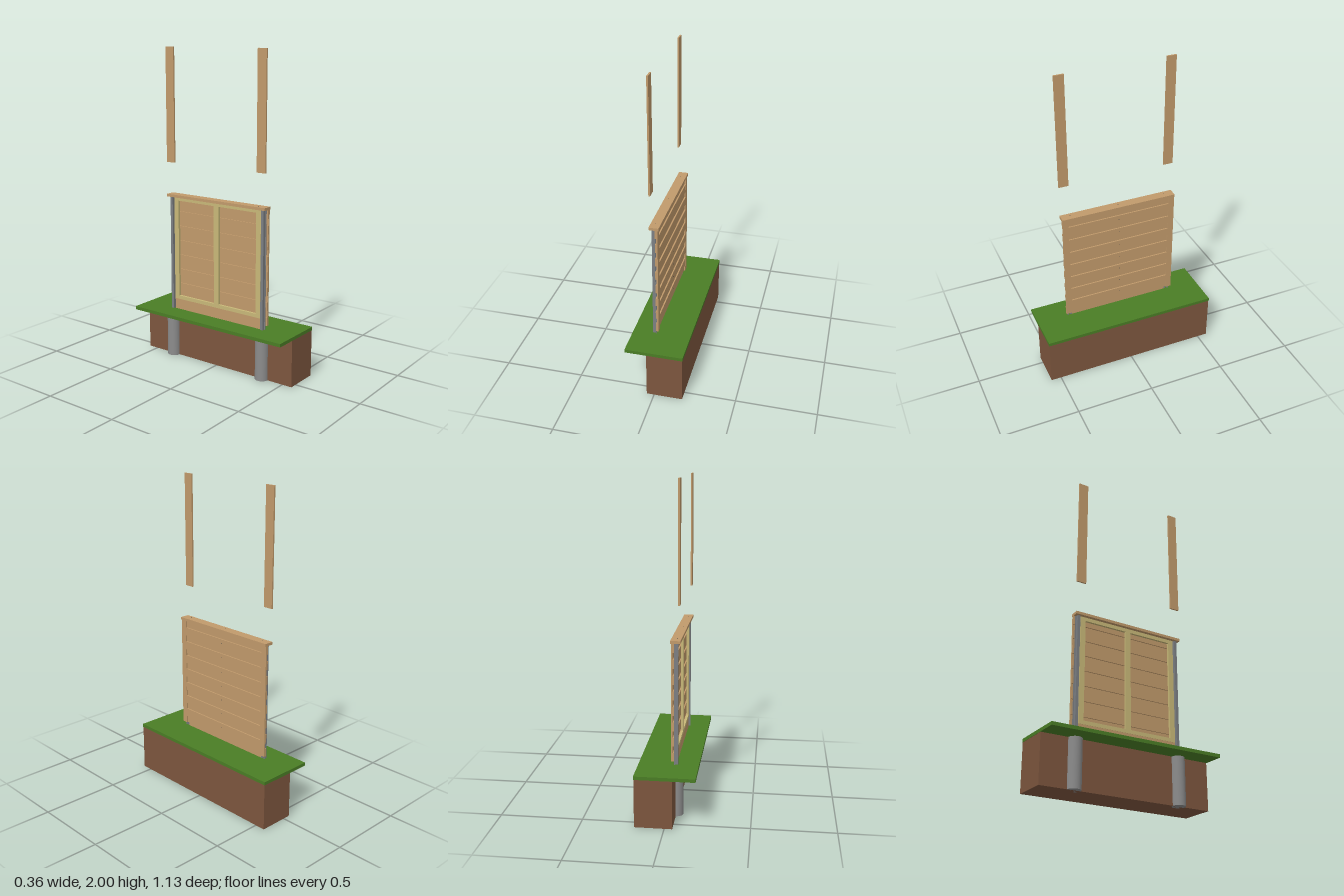
import * as THREE from 'three';

const mat = (name, color) => {
  const m = new THREE.MeshStandardMaterial({ color });
  m.name = name;
  return m;
};

export function createModel() {
  const model = new THREE.Group();
  model.name = 'fenceSection';
  const timber = mat('cedar', 0xc19a6b);
  const frameWood = mat('frameWood', 0xc8b878);
  const steel = mat('steel', 0x7c7f83);
  const concrete = mat('concrete', 0x8c8c8c);
  const soil = mat('soil', 0x7d563e);
  const grass = mat('grass', 0x4a7d25);
  const screwMetal = mat('screwMetal', 0x4a4a4a);

  const add = (name, geometry, material) => {
    const mesh = new THREE.Mesh(geometry, material);
    mesh.name = name;
    model.add(mesh);
    return mesh;
  };
  // Box given by its limits on each axis
  const box = (name, material, x0, x1, y0, y1, z0, z1) => {
    const mesh = add(name, new THREE.BoxGeometry(x1 - x0, y1 - y0, z1 - z0), material);
    mesh.position.set((x0 + x1) / 2, (y0 + y1) / 2, (z0 + z1) / 2);
    return mesh;
  };

  // Ground: soil block under an overhanging sheet of turf
  box('soilBlock', soil, -0.047, 0.178, 0, 0.297, -0.565, 0.565);
  box('turf', grass, -0.182, 0.18, 0.297, 0.318, -0.567, 0.567);

  // Steel post section: channel with outward flanges, drawn as (z, -x)
  const t = 0.004;
  const half = [[0.015, 0], [0.015, t], [0.009, t], [0.009, 0.023]];
  const inner = [[0.005, 0.019], [0.005, 0]];
  const section = new THREE.Shape([
    ...half,
    ...half.slice().reverse().map(([z, d]) => [-z, d]),
    ...inner.slice().reverse().map(([z, d]) => [-z, d]),
    ...inner,
  ].map(([z, d]) => new THREE.Vector2(z, d)));

  for (const s of [-1, 1]) {
    const zPost = s * 0.35;

    const footing = add('footing', new THREE.CylinderGeometry(0.043, 0.043, 0.297, 32), concrete);
    footing.position.set(-0.047, 0.1485, zPost);

    const postGeo = new THREE.ExtrudeGeometry(section, { depth: 0.766, bevelEnabled: false });
    postGeo.rotateX(-Math.PI / 2);
    postGeo.rotateY(Math.PI / 2);
    const post = add('steelPost', postGeo, steel);
    post.position.set(-0.035, 0.297, zPost);
    // Turn the channel so that its web faces the back of the panel
    const flip = new THREE.Box3().setFromObject(post);
    if (flip.max.x > -0.03) post.rotation.y = Math.PI;

    // Edge trim, frame stile and the raised post cover board
    box('edgeTrim', timber, -0.027, -0.018, 0.343, 1.063, s * 0.356 - 0.019, s * 0.356 + 0.019);
    box('frameStile', frameWood, -0.05, -0.035, 0.41, 1.04, s * 0.317 - 0.017, s * 0.317 + 0.017);
    box('postCover', timber, -0.069, -0.059, 1.285, 2, s * 0.344 - 0.031, s * 0.344 + 0.031);
  }

  // Frame rails and centre stile
  box('topRail', frameWood, -0.05, -0.035, 1.04, 1.063, -0.334, 0.334);
  box('bottomRail', frameWood, -0.05, -0.035, 0.387, 0.41, -0.334, 0.334);
  box('centreStile', frameWood, -0.05, -0.035, 0.41, 1.04, -0.018, 0.018);
  box('kickboard', timber, -0.048, -0.0355, 0.318, 0.387, -0.334, 0.334);

  // Overlapping slats: eight in the back layer, seven in the front one
  for (let i = 0; i < 8; i++) {
    const y = 1.036 - i * 0.0952;
    box('backSlat', timber, -0.035, -0.027, y - 0.027, y + 0.027, -0.375, 0.375);
    if (i < 7) {
      const yf = y - 0.0476;
      box('frontSlat', timber, -0.027, -0.0185, yf - 0.027, yf + 0.027, -0.337, 0.337);
      const head = add('slatScrew', new THREE.CylinderGeometry(0.0025, 0.0025, 0.001, 8), screwMetal);
      head.rotation.z = Math.PI / 2;
      head.position.set(-0.0183, yf, 0.004);
    }
  }

  // Capping board with three screws
  box('cap', timber, -0.072, -0.012, 1.063, 1.08, -0.375, 0.375);
  for (const z of [-0.315, 0, 0.315]) {
    const head = add('capScrew', new THREE.CylinderGeometry(0.003, 0.003, 0.001, 8), screwMetal);
    head.position.set(-0.047, 1.0803, z);
  }
  return model;
}
